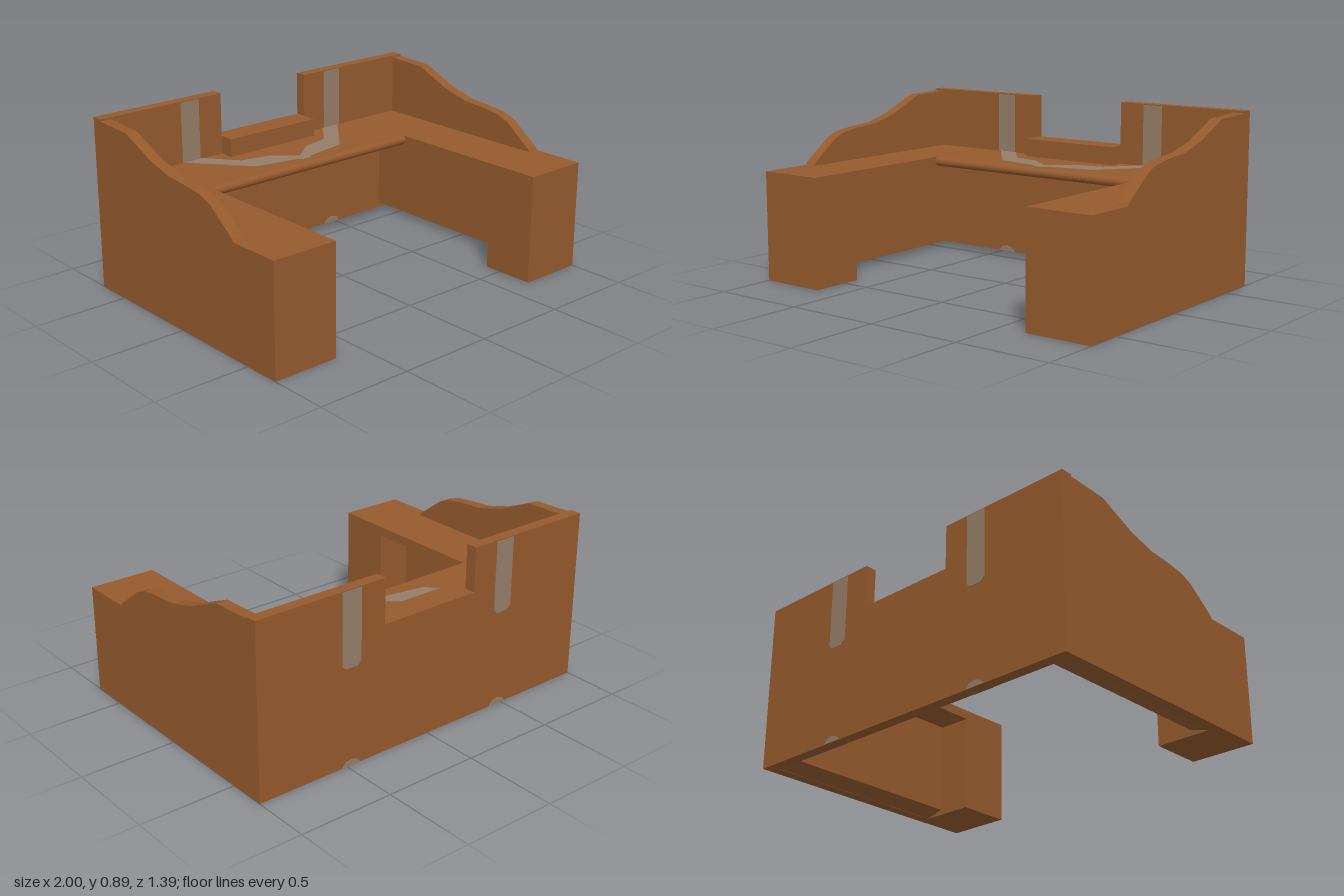
import * as THREE from 'three';

const wood = new THREE.MeshStandardMaterial({ color: 0x955a2d });
wood.name = 'brown wood';
const inlay = new THREE.MeshStandardMaterial({ color: 0x957d67 });
inlay.name = 'grey inlay';

const shapeOf = (pts) => new THREE.Shape(pts.map(([x, y]) => new THREE.Vector2(x, y)));
const extrude = (pts, depth) =>
  new THREE.ExtrudeGeometry(shapeOf(pts), { depth, bevelEnabled: false });

export function createModel() {
  const group = new THREE.Group();
  const add = (name, geometry, material = wood) => {
    const mesh = new THREE.Mesh(geometry, material);
    mesh.name = name;
    group.add(mesh);
    return mesh;
  };
  // Box given by its lower and upper corners
  const box = (name, a, b) => {
    const mesh = add(name, new THREE.BoxGeometry(b[0] - a[0], b[1] - a[1], b[2] - a[2]));
    mesh.position.set((a[0] + b[0]) / 2, (a[1] + b[1]) / 2, (a[2] + b[2]) / 2);
  };

  // Back panel with a notch in its top edge
  add('backPanel', extrude([
    [-1, 0], [1, 0], [1, 0.895], [0.28, 0.895], [0.28, 0.665],
    [-0.28, 0.665], [-0.28, 0.895], [-1, 0.895],
  ], 0.06)).position.z = -0.695;
  box('notchShelf', [-0.28, 0.565, -0.64], [0.28, 0.665, -0.555]);

  // Rear worktop with a rounded front edge, profile in (-z, y)
  const top = new THREE.Shape();
  top.moveTo(0.64, 0.52);
  top.lineTo(0.64, 0.57);
  top.lineTo(0.245, 0.57);
  top.absarc(0.245, 0.545, 0.025, Math.PI / 2, Math.PI * 1.5, false);
  const topGeo = new THREE.ExtrudeGeometry(top, { depth: 1.3, bevelEnabled: false, curveSegments: 8 });
  topGeo.rotateY(Math.PI / 2);
  add('rearWorktop', topGeo).position.x = -0.65;

  // Side wall profile in (-z, y), wavy above the worktop
  const wall = [
    [-0.695, 0], [0.64, 0], [0.64, 0.885], [0.41, 0.876], [0.21, 0.79], [0.06, 0.75],
    [-0.08, 0.74], [-0.18, 0.726], [-0.25, 0.7], [-0.405, 0.585], [-0.415, 0.57], [-0.695, 0.57],
  ];
  for (const s of [-1, 1]) {
    const side = s > 0 ? 'left' : 'right';
    const span = (a, b) => (s > 0 ? [a, b] : [-b, -a]);
    const sideBox = (name, x0, x1, y0, y1, z0, z1) => {
      const [a, b] = span(x0, x1);
      box(side + name, [a, y0, z0], [b, y1, z1]);
    };
    const wallGeo = extrude(wall, 0.06);
    wallGeo.rotateY(Math.PI / 2);
    add(side + 'SideWall', wallGeo).position.x = span(0.94, 1)[0];
    sideBox('ArmTop', 0.65, 0.95, 0.52, 0.57, -0.64, 0.695);
    sideBox('FrontPost', 0.65, 0.95, 0, 0.53, 0.41, 0.695);
    // Inner lining, sloped at its foot
    const lining = [[0.84, 0.03], [0.945, 0], [0.945, 0.525], [0.84, 0.525]];
    add(side + 'InnerLining', extrude(lining.map(([x, y]) => [x * s, y]), 1.05))
      .position.z = -0.638;

    // Painted stripes and feet of stripes on both faces of the back panel
    const x = 0.475 * s, w = 0.055;
    const front = [[x - w, 0.57], [x + w, 0.57], [x + w, 0.89], [x - w, 0.89]];
    const back = [[x - w, 0.53], [x - w * 0.6, 0.51], [x + w * 0.6, 0.51],
      [x + w, 0.53], [x + w, 0.89], [x - w, 0.89]];
    const foot = [[x - w, 0], [x + w, 0], [x + w * 0.6, 0.024], [x, 0.032], [x - w * 0.6, 0.024]];
    add(side + 'FrontStripe', extrude(front, 0.004), inlay).position.z = -0.636;
    add(side + 'BackStripe', extrude(back, 0.004), inlay).position.z = -0.698;
    add(side + 'FrontStripeFoot', extrude(foot, 0.004), inlay).position.z = -0.636;
    add(side + 'BackStripeFoot', extrude(foot, 0.004), inlay).position.z = -0.698;
  }

  // Inlay band across the worktop, half outline mirrored, in (x, -z)
  const outer = [[0.52, 0.635], [0.28, 0.342], [0.04, 0.3], [0.025, 0.278]];
  const inner = [[0.13, 0.44], [0.28, 0.47], [0.41, 0.635]];
  const flip = (pts) => pts.map(([x, y]) => [-x, y]).reverse();
  const band = extrude([...outer, ...flip(outer), ...flip(inner), [0, 0.335], ...inner], 0.004);
  band.rotateX(-Math.PI / 2);
  add('worktopInlay', band, inlay).position.y = 0.568;

  return group;
}
